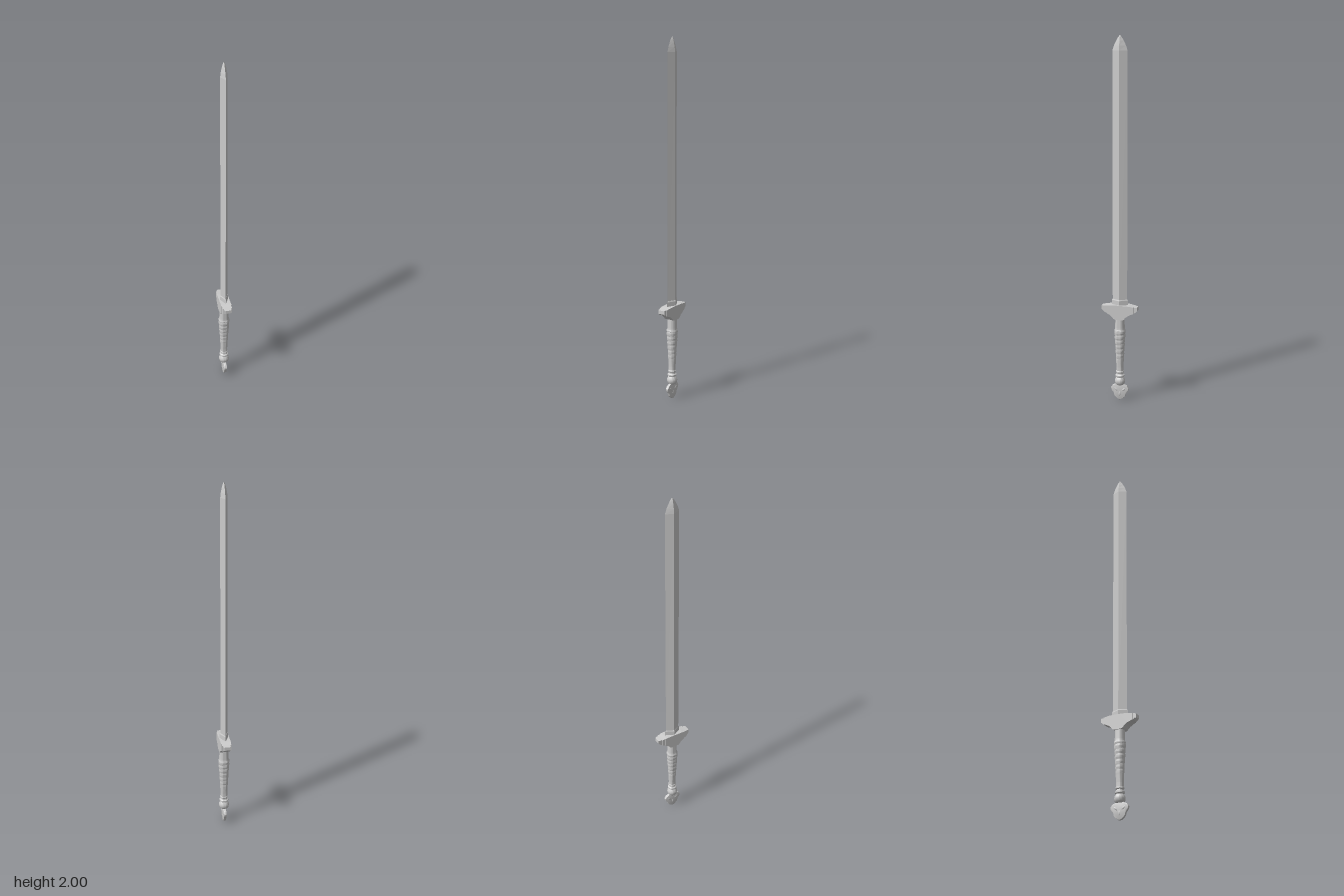
import * as THREE from 'three';
import { toCreasedNormals } from 'three/addons/utils/BufferGeometryUtils.js';

const material = new THREE.MeshStandardMaterial({ color: 0xcccccc });

function add(parent, name, geometry) {
  const mesh = new THREE.Mesh(geometry, material);
  mesh.name = name;
  parent.add(mesh);
  return mesh;
}

// Diamond cross-sections [y, half thickness x, half width z], joined with flat faces
function diamondLoft(rows) {
  const pos = [];
  const ring = ([y, a, b]) => [[a, y, 0], [0, y, -b], [-a, y, 0], [0, y, b]];
  const rings = rows.map(ring);
  const tri = (...p) => p.forEach((q) => pos.push(...q));
  for (let i = 0; i < rings.length - 1; i++) {
    for (let k = 0; k < 4; k++) {
      const n = (k + 1) % 4, lo = rings[i], hi = rings[i + 1];
      tri(lo[k], lo[n], hi[n]);
      if (rows[i + 1][1] > 0) tri(lo[k], hi[n], hi[k]);
    }
  }
  const b = rings[0], t = rings[rings.length - 1];
  tri(b[0], b[2], b[1]);
  tri(b[0], b[3], b[2]);
  if (rows[rows.length - 1][1] > 0) {
    tri(t[0], t[1], t[2]);
    tri(t[0], t[2], t[3]);
  }
  const g = new THREE.BufferGeometry();
  g.setAttribute('position', new THREE.Float32BufferAttribute(pos, 3));
  g.computeVertexNormals();
  return g;
}

// Extrude a (z, y) outline symmetrically across x
function slab(points, halfX, bevel) {
  const shape = new THREE.Shape(points.map(([z, y]) => new THREE.Vector2(z, y)));
  const depth = 2 * (halfX - bevel);
  const g = new THREE.ExtrudeGeometry(shape, {
    depth, bevelEnabled: bevel > 0, bevelSize: bevel, bevelThickness: bevel,
    bevelOffset: -bevel, bevelSegments: 2, curveSegments: 8,
  });
  g.translate(0, 0, -depth / 2);
  g.rotateY(Math.PI / 2);
  return toCreasedNormals(g, 0.6);
}

// Linear lookup in a table of [key, value]
function lookup(table, t) {
  for (let i = 1; i < table.length; i++) {
    const [a, va] = table[i - 1], [b, vb] = table[i];
    if (t <= b) return va + (vb - va) * (t - a) / (b - a);
  }
  return table[table.length - 1][1];
}

export function createModel() {
  const sword = new THREE.Group();
  sword.name = 'sword';

  // Blade with a central ridge and a curved point
  add(sword, 'blade', diamondLoft([
    [0.55, 0.02, 0.041], [1.92, 0.019, 0.041], [1.945, 0.016, 0.033],
    [1.97, 0.011, 0.021], [1.988, 0.006, 0.01], [2, 0, 0],
  ]));
  add(sword, 'bladeCollar', diamondLoft([
    [0.545, 0.024, 0.046], [0.574, 0.024, 0.046], [0.58, 0.021, 0.042],
  ]));

  // Crossguard: thick centre with stepped, upswept arms
  const guard = new THREE.Group();
  guard.name = 'crossguard';
  sword.add(guard);
  const top = [[0, 0.55], [0.05, 0.549], [0.075, 0.545], [0.1, 0.542]];
  const bottom = [[0, 0.468], [0.028, 0.47], [0.036, 0.482], [0.05, 0.494],
    [0.07, 0.504], [0.085, 0.51], [0.1, 0.522]];
  const arm = (z0, z1, halfX, name) => {
    const pts = [], n = 20;
    for (let i = 0; i <= n; i++) {
      const z = z0 + (z1 - z0) * i / n;
      pts.push([z, lookup(bottom, Math.abs(z))]);
    }
    for (let i = n; i >= 0; i--) {
      const z = z0 + (z1 - z0) * i / n;
      pts.push([z, lookup(top, Math.abs(z))]);
    }
    add(guard, name, slab(pts, halfX, 0));
  };
  arm(-0.062, 0.062, 0.029, 'guardCentre');
  const steps = [[0.062, 0.081, 0.026], [0.081, 0.095, 0.021], [0.095, 0.1, 0.017]];
  for (const [a, b, halfX] of steps) {
    arm(a, b, halfX, 'guardStep');
    arm(-b, -a, halfX, 'guardStep');
  }

  // Grip: turned handle, swollen near the guard, with a spiral wrap cut into it
  const gripProfile = [[0.19, 0.0195], [0.24, 0.022], [0.3, 0.025], [0.36, 0.029],
    [0.405, 0.031], [0.412, 0.027], [0.48, 0.025]];
  const rows = 150, gripPoints = [];
  for (let i = 0; i <= rows; i++) {
    const y = 0.16 + 0.32 * i / rows;
    gripPoints.push(new THREE.Vector2(lookup(gripProfile, Math.max(y, 0.19)), y));
  }
  const grip = new THREE.LatheGeometry(gripPoints, 40);
  const p = grip.attributes.position;
  for (let i = 0; i < p.count; i++) {
    const x = p.getX(i), y = p.getY(i), z = p.getZ(i);
    if (y < 0.24 || y > 0.4) continue;
    const turn = y / 0.027 + Math.atan2(z, x) / (2 * Math.PI);
    const ridge = Math.abs(Math.sin(Math.PI * turn));
    const scale = 1 + 0.11 * (Math.sqrt(ridge) - 0.8);
    p.setX(i, x * scale);
    p.setZ(i, z * scale);
  }
  add(sword, 'grip', toCreasedNormals(grip, 0.7));

  // Turned rings and knob below the grip
  const knob = [[0, 0.088], [0.02, 0.088], [0.026, 0.095], [0.029, 0.108], [0.028, 0.118],
    [0.022, 0.129], [0.02, 0.132], [0.025, 0.137], [0.025, 0.145], [0.019, 0.15],
    [0.018, 0.156], [0.022, 0.16], [0.022, 0.167], [0.018, 0.172], [0, 0.172]];
  add(sword, 'gripKnob', toCreasedNormals(
    new THREE.LatheGeometry(knob.map(([r, y]) => new THREE.Vector2(r, y)), 32), 0.6));

  // Flat fan-shaped pommel with scalloped edge
  const half = [[0.016, 0.097], [0.024, 0.089], [0.041, 0.082], [0.05, 0.068], [0.048, 0.055],
    [0.039, 0.043], [0.034, 0.036], [0.031, 0.022], [0.021, 0.011], [0.01, 0.003], [0, 0]];
  const outline = [...half, ...half.slice(0, -1).reverse().map(([z, y]) => [-z, y])].reverse();
  add(sword, 'pommel', slab(outline, 0.008, 0.003));

  // Raised leaf reliefs on both faces of the pommel
  const leaf = new THREE.SphereGeometry(1, 16, 10);
  for (const [z, y, tilt] of [[0, 0.035, 0], [0.022, 0.06, -0.9], [-0.022, 0.06, 0.9]]) {
    const relief = add(sword, 'pommelRelief', leaf);
    relief.scale.set(0.0105, 0.021, 0.009);
    relief.position.set(0, y, z);
    relief.rotation.x = -tilt;
  }
  return sword;
}
